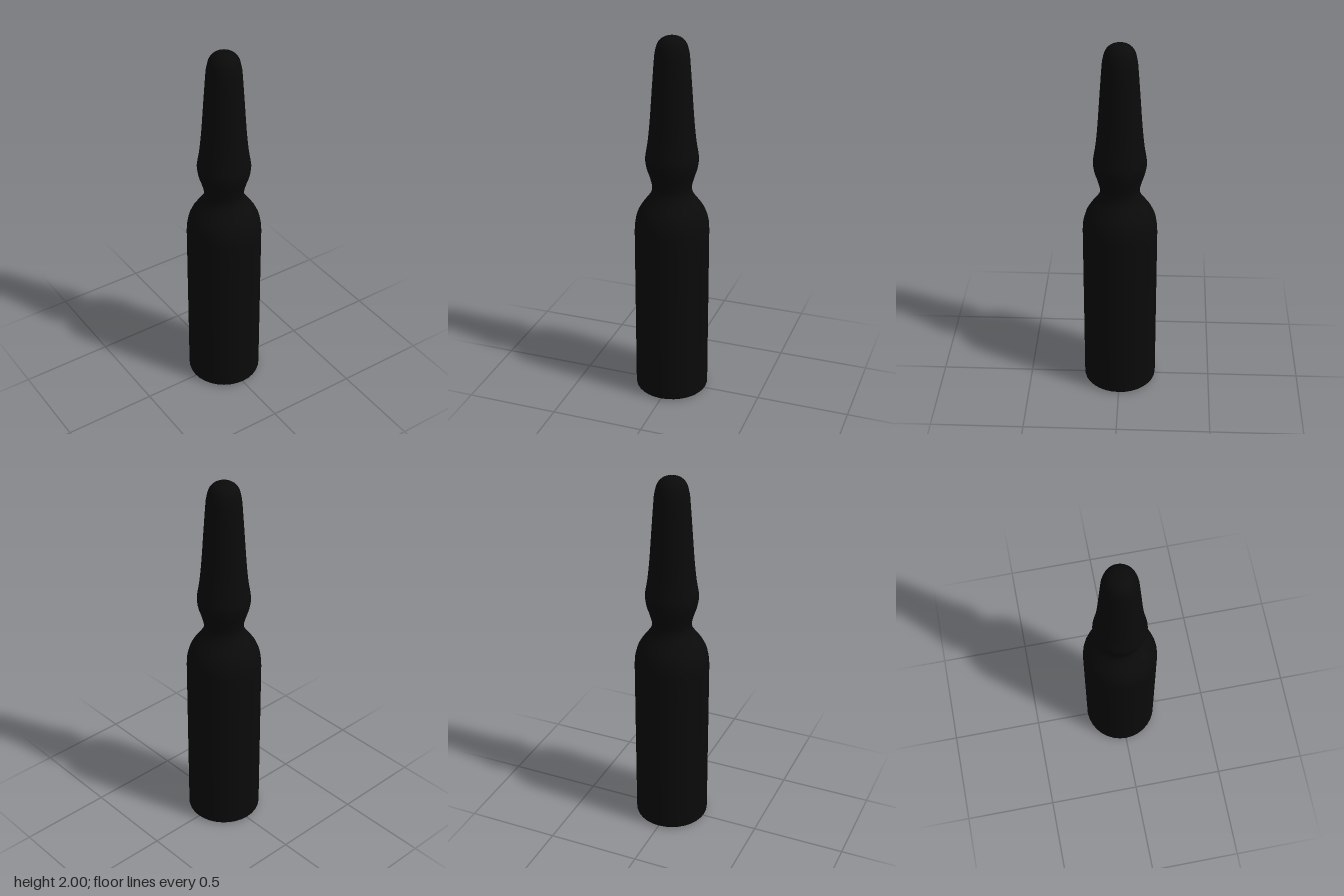
import * as THREE from 'three';

const SIDES = 32;

// Smooth curve through a few [radius, height] points
function smooth(points, steps) {
  return new THREE.SplineCurve(points.map(([r, y]) => new THREE.Vector2(r, y))).getPoints(steps);
}

export function createModel() {
  const group = new THREE.Group();
  group.name = 'ampoule';
  const glass = new THREE.MeshStandardMaterial({ color: 0x0a0a0a });

  function addLathe(name, profile) {
    const mesh = new THREE.Mesh(new THREE.LatheGeometry(profile, SIDES), glass);
    mesh.name = name;
    group.add(mesh);
  }

  // Flat underside
  addLathe('base', [new THREE.Vector2(0, 0), new THREE.Vector2(0.18, 0)]);

  // Rounded foot, straight body, shoulder, pinched neck, tapered stem and domed tip
  const foot = smooth([[0.18, 0], [0.188, 0.003], [0.195, 0.009], [0.198, 0.02]], 6);
  const upper = smooth([
    [0.198, 0.94], [0.195, 0.99], [0.185, 1.035], [0.168, 1.073], [0.142, 1.11],
    [0.115, 1.148], [0.104, 1.18], [0.106, 1.21], [0.118, 1.255], [0.131, 1.295], [0.139, 1.34],
    [0.137, 1.375], [0.125, 1.45], [0.114, 1.56], [0.102, 1.73], [0.091, 1.88],
    [0.086, 1.92], [0.075, 1.96], [0.055, 1.985], [0.028, 1.998], [0, 2],
  ], 80);
  upper[upper.length - 1].set(0, 2);
  addLathe('bottle', [...foot, new THREE.Vector2(0.198, 0.06), new THREE.Vector2(0.198, 0.9), ...upper]);

  return group;
}
